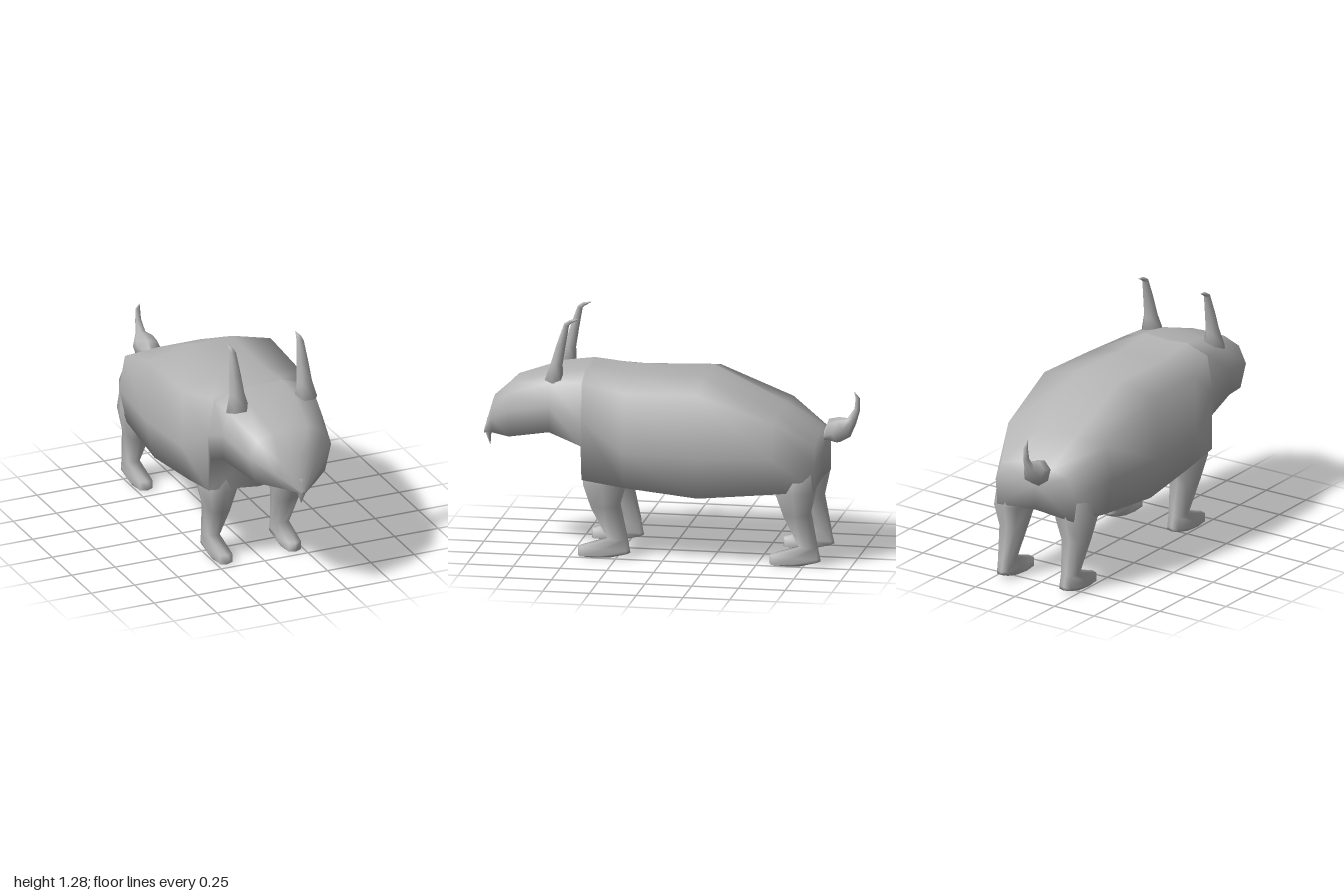
import * as THREE from 'three';

const hide = new THREE.MeshStandardMaterial({ color: 0xb4b4b4 });
hide.name = 'grey hide';

// Closed smooth skin through rings of equal point count; turned outward by its signed volume
function loft(name, rings) {
  const n = rings[0].length, pts = rings.flat(), idx = [];
  for (let i = 0; i < rings.length - 1; i++) {
    for (let j = 0; j < n; j++) {
      const a = i * n + j, b = i * n + (j + 1) % n;
      idx.push(a, a + n, b, b, a + n, b + n);
    }
  }
  for (const [k, end] of [[0, 0], [rings.length - 1, 1]]) {
    const c = new THREE.Vector3();
    rings[k].forEach(p => c.addScaledVector(p, 1 / n));
    pts.push(c);
    for (let j = 0; j < n; j++) {
      const a = k * n + j, b = k * n + (j + 1) % n;
      if (end) idx.push(a, pts.length - 1, b); else idx.push(a, b, pts.length - 1);
    }
  }
  let volume = 0;
  for (let i = 0; i < idx.length; i += 3) {
    volume += pts[idx[i]].dot(pts[idx[i + 1]].clone().cross(pts[idx[i + 2]]));
  }
  if (volume < 0) idx.reverse();
  const g = new THREE.BufferGeometry().setFromPoints(pts);
  g.setIndex(idx);
  g.computeVertexNormals();
  const mesh = new THREE.Mesh(g, hide);
  mesh.name = name;
  return mesh;
}

// Half section from top centre to bottom centre, mirrored in x
function section(z, half) {
  const left = half.map(([x, y]) => new THREE.Vector3(x, y, z));
  const right = half.slice(1, -1).reverse().map(([x, y]) => new THREE.Vector3(-x, y, z));
  return [...left, ...right];
}

// Tapered limb along a path of [y, z, radius] at a fixed x
function taper(name, x, path, sides, flat = 1) {
  const rings = path.map(([y, z, r], i) => {
    const p = path[Math.max(i - 1, 0)], q = path[Math.min(i + 1, path.length - 1)];
    const len = Math.hypot(q[0] - p[0], q[1] - p[1]);
    const ny = (q[1] - p[1]) / len, nz = -(q[0] - p[0]) / len;
    return Array.from({ length: sides }, (_, j) => {
      const t = j / sides * Math.PI * 2, s = Math.sin(t) * r * flat;
      return new THREE.Vector3(x + Math.cos(t) * r, y + s * ny, z + s * nz);
    });
  });
  return loft(name, rings);
}

// Leg rings: [front y, back y, front z, back z, inner x, outer x]
function leg(name, side, rows) {
  const outline = [[0, 1], [0.75, 0.9], [1, 0], [0.75, -0.9], [0, -1], [-0.75, -0.9], [-1, 0], [-0.75, 0.9]];
  return loft(name, rows.map(([yf, yb, zf, zb, xi, xo]) => outline.map(([u, v]) => {
    const t = (v + 1) / 2;
    return new THREE.Vector3(side * ((xi + xo) / 2 + u * (xo - xi) / 2), yb + (yf - yb) * t, zb + (zf - zb) * t);
  })));
}

export function createModel() {
  const model = new THREE.Group();
  model.name = 'hornedBeast';

  // Body, chest wall and head in one skin, from rump to snout
  model.add(loft('bodyAndHead', [
    section(-0.81, [[0, 0.68], [0.1, 0.68], [0.21, 0.65], [0.25, 0.55], [0.24, 0.41], [0, 0.43]]),
    section(-0.6, [[0, 0.8], [0.12, 0.8], [0.31, 0.785], [0.345, 0.6], [0.3, 0.4], [0, 0.4]]),
    section(-0.2, [[0, 0.98], [0.13, 0.985], [0.35, 0.93], [0.372, 0.59], [0.32, 0.365], [0, 0.365]]),
    section(0.2, [[0, 0.965], [0.13, 0.97], [0.335, 0.92], [0.345, 0.6], [0.3, 0.4], [0, 0.4]]),
    section(0.425, [[0, 0.985], [0.13, 0.993], [0.26, 0.95], [0.295, 0.75], [0.29, 0.43], [0, 0.4]]),
    section(0.432, [[0, 0.985], [0.13, 0.993], [0.26, 0.95], [0.292, 0.75], [0.28, 0.61], [0, 0.6]]),
    section(0.6, [[0, 0.968], [0.13, 0.97], [0.25, 0.94], [0.29, 0.82], [0.285, 0.68], [0, 0.675]]),
    section(0.83, [[0, 0.9], [0.1, 0.895], [0.19, 0.86], [0.235, 0.77], [0.2, 0.625], [0, 0.615]]),
    section(0.94, [[0, 0.8], [0.05, 0.79], [0.1, 0.755], [0.13, 0.7], [0.09, 0.615], [0, 0.605]]),
    section(0.998, [[0, 0.61], [0.006, 0.608], [0.012, 0.604], [0.014, 0.6], [0.01, 0.595], [0, 0.59]]),
  ]));

  // Hooked beak tip
  model.add(taper('beakTip', 0, [[0.66, 0.95, 0.05], [0.6, 0.978, 0.026], [0.53, 0.966, 0.002]], 8, 0.7));

  // Legs and horns in mirrored pairs
  for (const [side, label] of [[1, 'left'], [-1, 'right']]) {
    model.add(leg(label + 'FrontLeg', side, [
      [0.58, 0.58, 0.42, 0.2, 0.06, 0.29],
      [0.4, 0.4, 0.432, 0.2, 0.1, 0.295],
      [0.27, 0.28, 0.39, 0.235, 0.13, 0.265],
      [0.1, 0.1, 0.3, 0.195, 0.155, 0.243],
      [0.05, 0.04, 0.46, 0.183, 0.15, 0.245],
      [0, 0.025, 0.46, 0.18, 0.15, 0.245],
      [0, 0, 0.45, 0.28, 0.155, 0.24],
    ]));
    model.add(leg(label + 'HindLeg', side, [
      [0.58, 0.58, -0.6, -0.8, 0.06, 0.27],
      [0.4, 0.4, -0.595, -0.812, 0.1, 0.29],
      [0.27, 0.28, -0.64, -0.785, 0.13, 0.265],
      [0.1, 0.1, -0.725, -0.82, 0.155, 0.243],
      [0.05, 0.04, -0.565, -0.835, 0.15, 0.245],
      [0, 0.025, -0.565, -0.838, 0.15, 0.245],
      [0, 0, -0.575, -0.74, 0.155, 0.24],
    ]));
    model.add(taper(label + 'Horn', side * 0.195, [
      [0.94, 0.59, 0.068], [1.03, 0.575, 0.044], [1.13, 0.552, 0.034],
      [1.245, 0.522, 0.02], [1.262, 0.5, 0.014], [1.275, 0.46, 0.001],
    ], 6, 0.75));
  }

  // Knobbed tail with a curled tip, set slightly to one side
  model.add(taper('tail', -0.06, [
    [0.64, -0.76, 0.05], [0.645, -0.815, 0.025], [0.668, -0.86, 0.07], [0.69, -0.915, 0.062],
    [0.725, -0.955, 0.028], [0.79, -0.985, 0.016], [0.85, -0.988, 0.012], [0.885, -0.97, 0.001],
  ], 7));

  return model;
}
